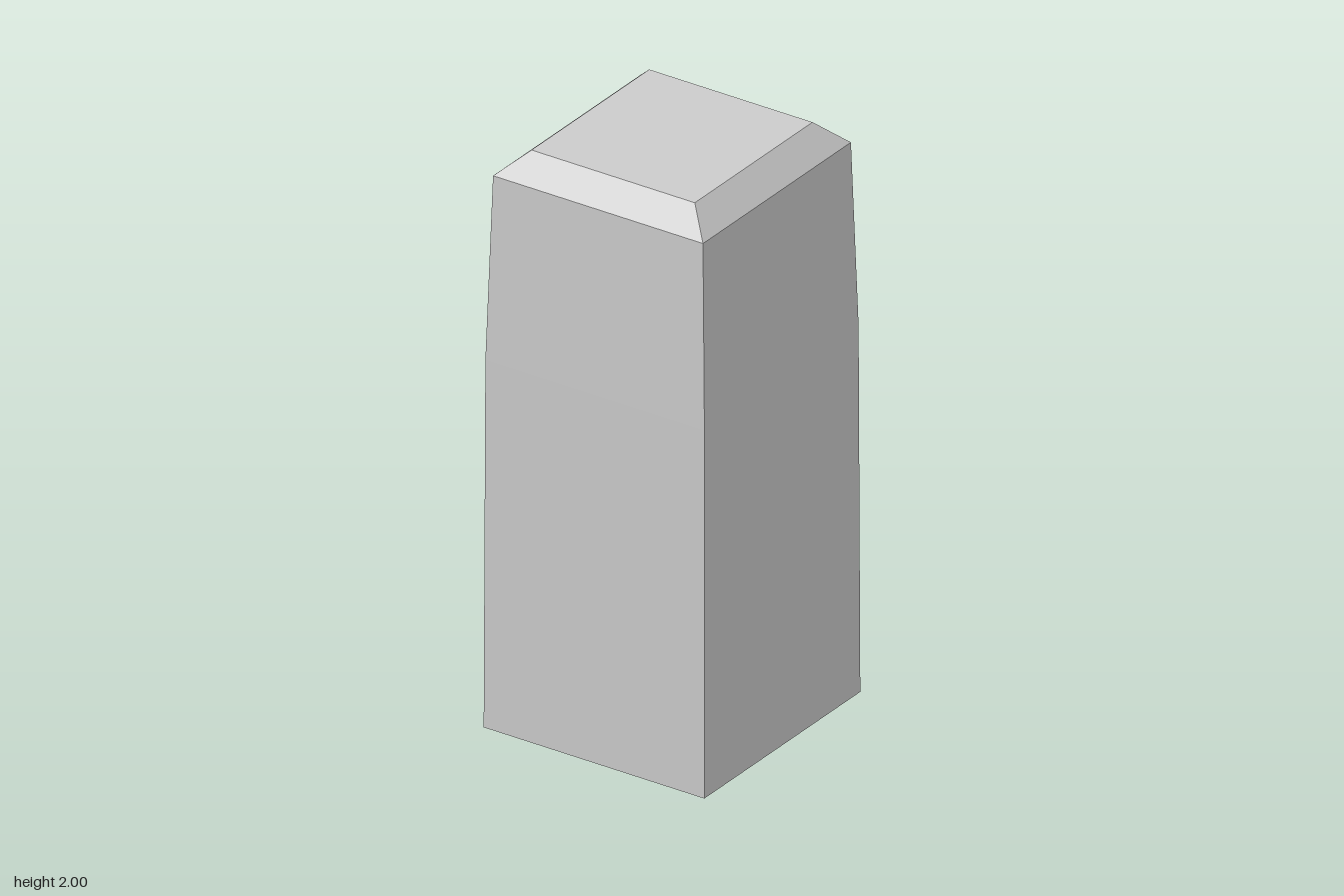
import * as THREE from 'three';

// Rings from bottom to top: [height, half width, half depth]
const RINGS = [
  [0, 0.412, 0.424],
  [1.28, 0.409, 0.419],
  [1.92, 0.392, 0.402],
  [2, 0.305, 0.32],
];

export function createModel() {
  const group = new THREE.Group();
  group.name = 'taperedBlock';

  // Segmented box whose levels are moved onto the rings
  const last = RINGS.length - 1;
  const geometry = new THREE.BoxGeometry(2, last, 2, 1, last, 1);
  const pos = geometry.attributes.position;
  for (let i = 0; i < pos.count; i++) {
    const [y, halfWidth, halfDepth] = RINGS[Math.round(pos.getY(i) + last / 2)];
    pos.setXYZ(i, Math.sign(pos.getX(i)) * halfWidth, y, Math.sign(pos.getZ(i)) * halfDepth);
  }
  const flat = geometry.toNonIndexed();
  flat.computeVertexNormals();

  const body = new THREE.Mesh(
    flat,
    new THREE.MeshStandardMaterial({ color: 0xcccccc, flatShading: true })
  );
  body.name = 'chamferedBody';
  group.add(body);
  return group;
}
